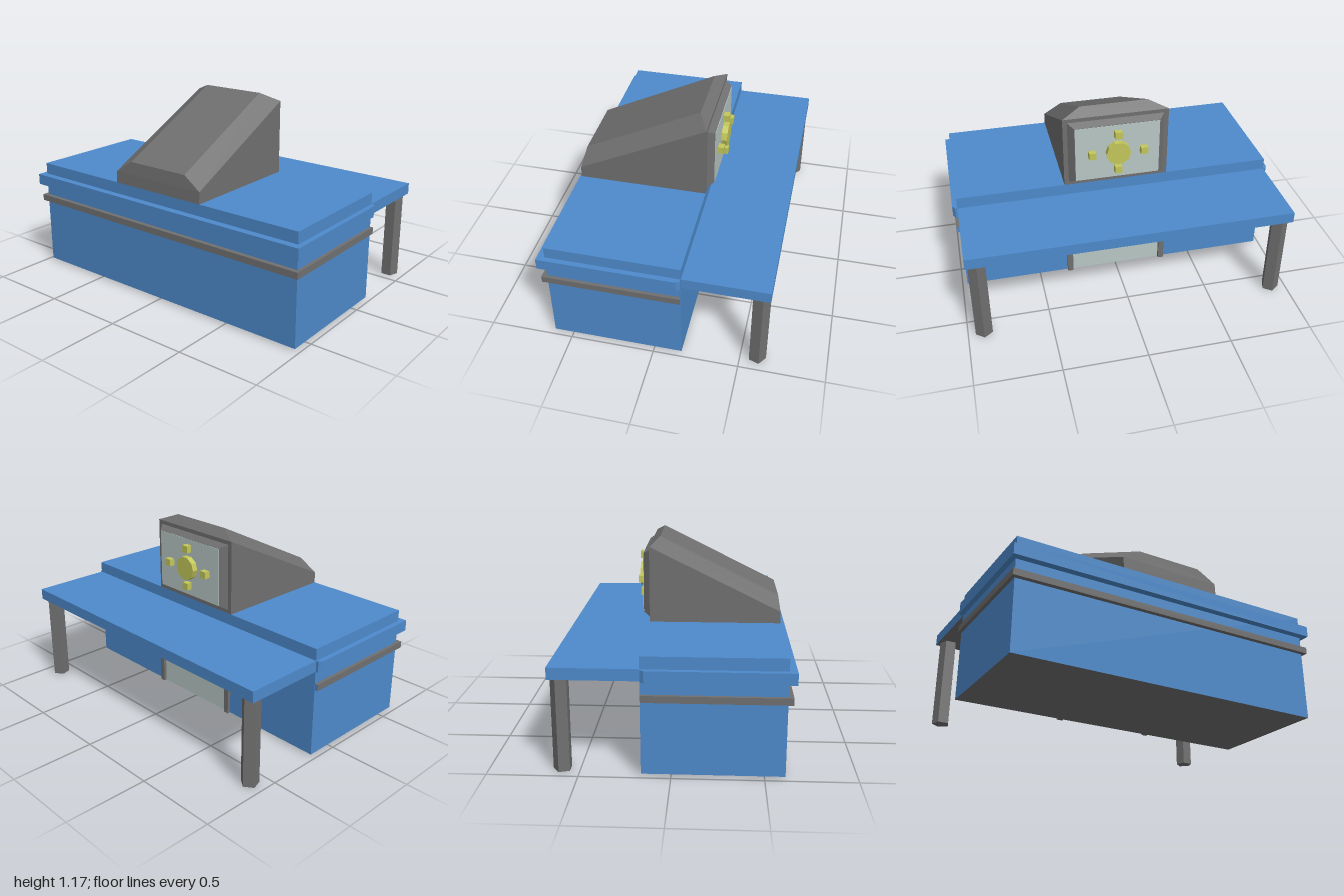
import * as THREE from 'three';
import { ConvexGeometry } from 'three/addons/geometries/ConvexGeometry.js';

const mat = (color) => new THREE.MeshStandardMaterial({ color, flatShading: true });

export function createModel() {
  const group = new THREE.Group();
  const blue = mat(0x4d8acb), grey = mat(0x707070), glass = mat(0xb8c8c5), yellow = mat(0xc3c75a);

  const add = (name, geometry, material) => {
    const mesh = new THREE.Mesh(geometry, material);
    mesh.name = name;
    group.add(mesh);
    return mesh;
  };
  // Box from its minimum and maximum corners
  const box = (name, material, [x0, y0, z0], [x1, y1, z1]) => {
    const mesh = add(name, new THREE.BoxGeometry(x1 - x0, y1 - y0, z1 - z0), material);
    mesh.position.set((x0 + x1) / 2, (y0 + y1) / 2, (z0 + z1) / 2);
    return mesh;
  };
  // Convex solid mirrored in z, from points on the +z half
  const mirroredHull = (name, material, points) =>
    add(name, new ConvexGeometry(points.flatMap(([x, y, z]) =>
      [new THREE.Vector3(x, y, z), new THREE.Vector3(x, y, -z)])), material);

  // Blue slabs with grey undersides
  const greyBelow = [blue, blue, blue, grey, blue, blue];
  box('body', greyBelow, [-0.612, 0.01, -0.97], [0.163, 0.675, 0.97]);
  box('awning', greyBelow, [0.163, 0.538, -0.97], [0.655, 0.605, 0.97]);

  // Upper band with clipped front corners, lower trim with blue front ends
  const bandShape = new THREE.Shape([
    [-0.655, -1], [0.14, -1], [0.161, -0.985], [0.161, 0.985], [0.14, 1], [-0.655, 1],
  ].map(([x, z]) => new THREE.Vector2(x, z)));
  const bandGeometry = new THREE.ExtrudeGeometry(bandShape, { depth: 0.067, bevelEnabled: false });
  bandGeometry.rotateX(-Math.PI / 2);
  add('upperBand', bandGeometry, blue).position.y = 0.538;
  box('lowerTrim', [blue, grey, grey, grey, grey, grey], [-0.64, 0.426, -0.99], [0.161, 0.465, 0.99]);

  // Five-sided awning posts, one edge pointing outwards
  for (const side of [1, -1]) {
    const post = add(side > 0 ? 'leftPost' : 'rightPost', new THREE.CylinderGeometry(0.053, 0.053, 0.538, 5), grey);
    post.rotation.y = Math.PI / 2;
    post.position.set(0.597, 0.269, 0.905 * side);
  }

  // Doorway: open-bottomed frame around a pane
  const frameShape = new THREE.Shape([
    [-0.32, 0.01], [-0.285, 0.01], [-0.285, 0.392], [0.285, 0.392],
    [0.285, 0.01], [0.32, 0.01], [0.32, 0.424], [-0.32, 0.424],
  ].map(([z, y]) => new THREE.Vector2(z, y)));
  const frameGeometry = new THREE.ExtrudeGeometry(frameShape, { depth: 0.022, bevelEnabled: false });
  frameGeometry.rotateY(Math.PI / 2);
  add('doorFrame', frameGeometry, grey).position.x = 0.162;
  box('doorPane', glass, [0.155, 0.011, -0.285], [0.166, 0.392, 0.285]);

  // Sloping roof housing with chamfered top edges
  mirroredHull('roofHousing', grey, [
    [0.163, 0.675, 0.32], [0.163, 1.125, 0.32], [0.105, 1.17, 0.205],
    [-0.6, 0.82, 0.205], [-0.609, 0.745, 0.32], [-0.612, 0.675, 0.32],
  ]);
  // Tapered surround carrying the sign pane
  mirroredHull('signSurround', grey, [
    [0.16, 0.695, 0.295], [0.16, 1.103, 0.295], [0.202, 0.72, 0.258], [0.202, 1.078, 0.258],
  ]);
  box('signPane', glass, [0.195, 0.722, -0.256], [0.205, 1.076, 0.256]);

  // Sign emblem: a ten-sided disc with four blocks around it
  const disc = add('signDisc', new THREE.CylinderGeometry(0.074, 0.074, 0.038, 10), yellow);
  disc.geometry.rotateX(Math.PI / 2).rotateZ(Math.PI / 2).rotateY(Math.PI / 2);
  disc.position.set(0.221, 0.9, 0);
  for (const [dy, dz] of [[0.122, 0], [-0.115, 0], [0, 0.157], [0, -0.157]]) {
    add('signBlock', new THREE.BoxGeometry(0.038, 0.043, 0.043), yellow).position.set(0.221, 0.9 + dy, dz);
  }
  return group;
}
